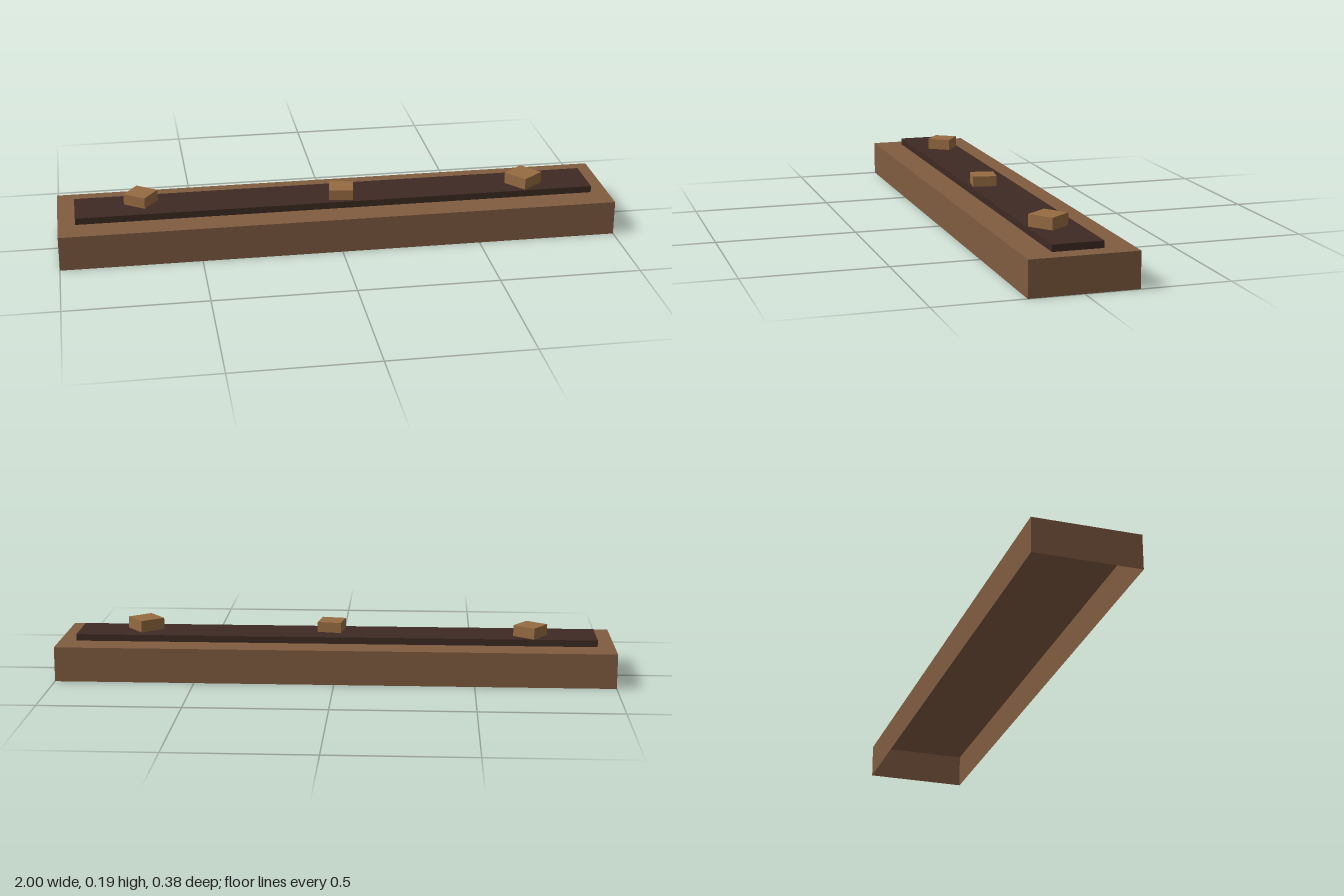
import * as THREE from 'three';

export function createModel() {
  const group = new THREE.Group();
  const material = (name, color, side = THREE.FrontSide) =>
    Object.assign(new THREE.MeshStandardMaterial({ color, side }), { name });
  const wood = material('planter wood', 0x805c41, THREE.DoubleSide);
  const soil = material('dark soil', 0x3e2a23);
  const chip = material('wood chip', 0x966b41);

  function addBox(name, mat, [w, h, d], [x, bottom, z], turn = 0) {
    const mesh = new THREE.Mesh(new THREE.BoxGeometry(w, h, d), mat);
    mesh.name = name;
    mesh.position.set(x, bottom + h / 2, z);
    mesh.rotation.y = THREE.MathUtils.degToRad(turn);
    group.add(mesh);
    return mesh;
  }

  // Hollow trough: a thin box shell with its underside left open
  const trough = addBox('trough', wood, [2, 0.125, 0.375], [0, 0, 0]);
  const index = Array.from(trough.geometry.index.array);
  index.splice(18, 6); // the downward face
  trough.geometry.setIndex(index);
  trough.geometry.clearGroups();

  // Raised bed of soil
  addBox('soilBed', soil, [1.876, 0.024, 0.175], [0, 0.126, 0]);

  // Loose chips: x, z, side, top height, turn in degrees
  const chips = [
    [-0.701, -0.022, 0.088, 0.19, -35],
    [0.018, 0.028, 0.086, 0.187, -9.5],
    [0.698, 0.0165, 0.095, 0.192, 38],
  ];
  chips.forEach(([x, z, side, top, turn], i) =>
    addBox(`chip${i + 1}`, chip, [side, top - 0.14, side], [x, 0.14, z], turn));

  return group;
}
